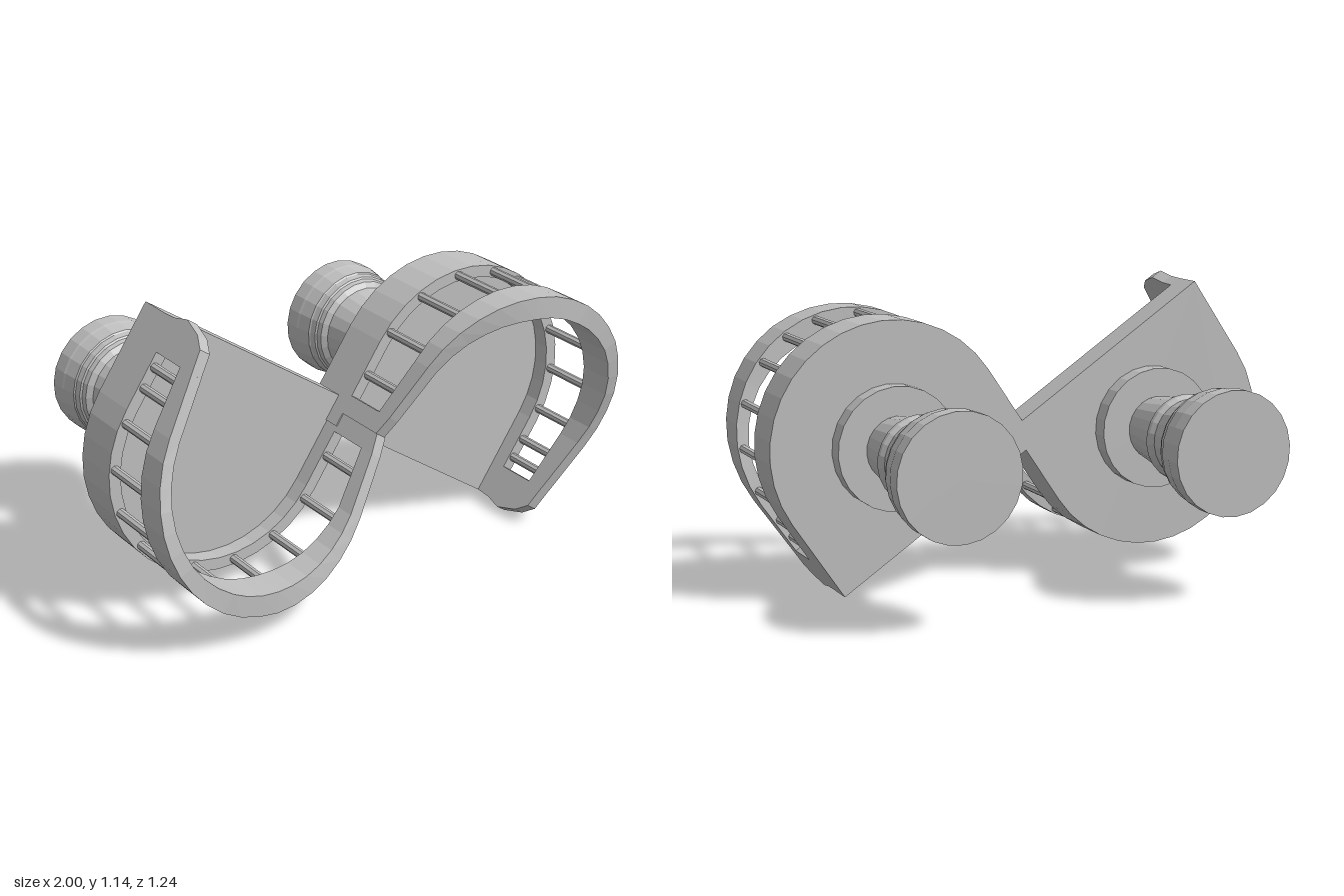
import * as THREE from 'three';

const R = 0.467;                 // outer radius of each lobe
const ARC = Math.PI * R;         // length of the half circle
const STRAIGHT = 0.35;           // length of the straight sides
const SEGS = 18;

const grey = new THREE.MeshStandardMaterial({ color: 0xc0c0c0 });
grey.name = 'stone grey';
grey.flatShading = true;

// Point on the lobe outline at arc length s, moved inwards by inset
function outline(s, inset = 0) {
  const r = R - inset;
  if (s <= 0) return [-r, s];
  if (s >= ARC) return [r, ARC - s];
  const a = s / R;
  return [-r * Math.cos(a), r * Math.sin(a)];
}

function stations(s0, s1) {
  const list = [s0];
  for (let i = 0; i <= SEGS; i++) {
    const s = (ARC * i) / SEGS;
    if (s > s0 + 1e-4 && s < s1 - 1e-4) list.push(s);
  }
  list.push(s1);
  return list;
}

// Handrail profile: s, back z, front z, thickness
const RAIL = [
  [-0.298, 0.37, 0.43, 0.045], [-0.225, 0.39, 0.455, 0.045], [0, 0.435, 0.51, 0.05],
  [0.285, 0.46, 0.575, 0.075], [0.456, 0.465, 0.605, 0.085], [0.734, 0.465, 0.62, 0.075],
  [1.0, 0.455, 0.605, 0.055], [1.19, 0.44, 0.575, 0.045], [ARC, 0.405, 0.505, 0.045],
  [1.69, 0.375, 0.45, 0.045],
];
function railAt(s) {
  let i = 0;
  while (i < RAIL.length - 2 && s > RAIL[i + 1][0]) i++;
  const a = RAIL[i], b = RAIL[i + 1];
  const t = THREE.MathUtils.clamp((s - a[0]) / (b[0] - a[0]), 0, 1);
  return [1, 2, 3].map((k) => THREE.MathUtils.lerp(a[k], b[k], t));
}

// Four-sided band following the outline; profile(s) gives back z, front z, thickness
function band(s0, s1, profile) {
  const rings = stations(s0, s1).map((s) => {
    const [back, front, thick] = profile(s);
    const o = outline(s), n = outline(s, thick);
    return [[...o, back], [...o, front], [...n, front], [...n, back]];
  });
  const pos = [];
  const quad = (a, b, c, d) => pos.push(...a, ...b, ...c, ...a, ...c, ...d);
  for (let i = 0; i < rings.length - 1; i++) {
    for (let j = 0; j < 4; j++) {
      const k = (j + 1) % 4;
      quad(rings[i][j], rings[i][k], rings[i + 1][k], rings[i + 1][j]);
    }
  }
  const f = rings[0], l = rings[rings.length - 1];
  quad(f[0], f[3], f[2], f[1]);
  quad(l[0], l[1], l[2], l[3]);
  const g = new THREE.BufferGeometry();
  g.setAttribute('position', new THREE.Float32BufferAttribute(pos, 3));
  g.computeVertexNormals();
  return g;
}

function extrude(points, depth) {
  const shape = new THREE.Shape(points.map((p) => new THREE.Vector2(p[0], p[1])));
  return new THREE.ExtrudeGeometry(shape, { depth, bevelEnabled: false });
}

function add(group, name, geometry) {
  const m = new THREE.Mesh(geometry, grey);
  m.name = name;
  group.add(m);
  return m;
}

function createLobe(name) {
  const lobe = new THREE.Group();
  lobe.name = name;
  const end = ARC + STRAIGHT;

  // Floor slab and its raised rim
  const floor = add(lobe, 'floorSlab', extrude(stations(-STRAIGHT, end).map((s) => outline(s)), 0.125));
  floor.position.z = 0.03;
  add(lobe, 'floorRim', band(-STRAIGHT, end, () => [0.155, 0.22, 0.045]));

  // Handrail and the solid post shared at the middle
  add(lobe, 'handrail', band(-0.225, ARC + 0.22, railAt));
  add(lobe, 'middlePost', band(-0.298, -0.225, (s) => [0.22, railAt(s)[1], 0.045]));

  // Scrolled end post, drawn in the z / side plane
  const scroll = [
    [0.155, -0.35], [0.22, -0.353], [0.29, -0.37], [0.38, -0.343], [0.43, -0.305],
    [0.45, -0.22], [0.22, -0.22], [0.155, -0.25],
  ];
  const endPost = extrude(scroll, 0.045);
  endPost.rotateY(-Math.PI / 2);   // (z, v, depth) -> (-depth, v, z)
  endPost.translate(R, 0, 0);
  add(lobe, 'endPost', endPost);

  // Balusters
  const deg = (d) => (d * Math.PI * R) / 180;
  const places = [-0.13, ...[6, 29, 52, 74, 91, 108, 130, 152, 174].map(deg), ARC + 0.09, ARC + 0.17];
  for (const s of places) {
    const top = railAt(s)[0] + 0.01;
    const g = new THREE.CylinderGeometry(0.017, 0.017, top - 0.21, 8);
    g.rotateX(Math.PI / 2);
    const [x, y] = outline(s, 0.023);
    add(lobe, 'baluster', g).position.set(x, y, (top + 0.21) / 2);
  }

  // Turned column behind the floor: radius, distance back
  const profile = [
    [0, -0.03], [0.233, -0.03], [0.233, 0.04], [0.124, 0.04], [0.152, 0.245], [0.166, 0.26],
    [0.166, 0.28], [0.154, 0.3], [0.178, 0.42], [0.2, 0.435], [0.205, 0.455], [0.212, 0.46],
    [0.217, 0.485], [0.222, 0.49], [0.23, 0.55], [0.233, 0.56], [0.233, 0.625], [0, 0.625],
  ].map(([r, d]) => new THREE.Vector2(r, d));
  const column = new THREE.LatheGeometry(profile, 24);
  column.rotateX(-Math.PI / 2);
  add(lobe, 'column', column);

  lobe.position.x = 0.533;
  lobe.rotation.z = THREE.MathUtils.degToRad(-34);
  return lobe;
}

export function createModel() {
  const model = new THREE.Group();
  model.name = 'twinBalcony';
  ['leftBalcony', 'rightBalcony'].forEach((name, i) => {
    const half = new THREE.Group();
    half.name = name + 'Half';
    half.add(createLobe(name));
    half.rotation.z = i * Math.PI;
    half.position.y = 0.567;
    model.add(half);
  });
  return model;
}
